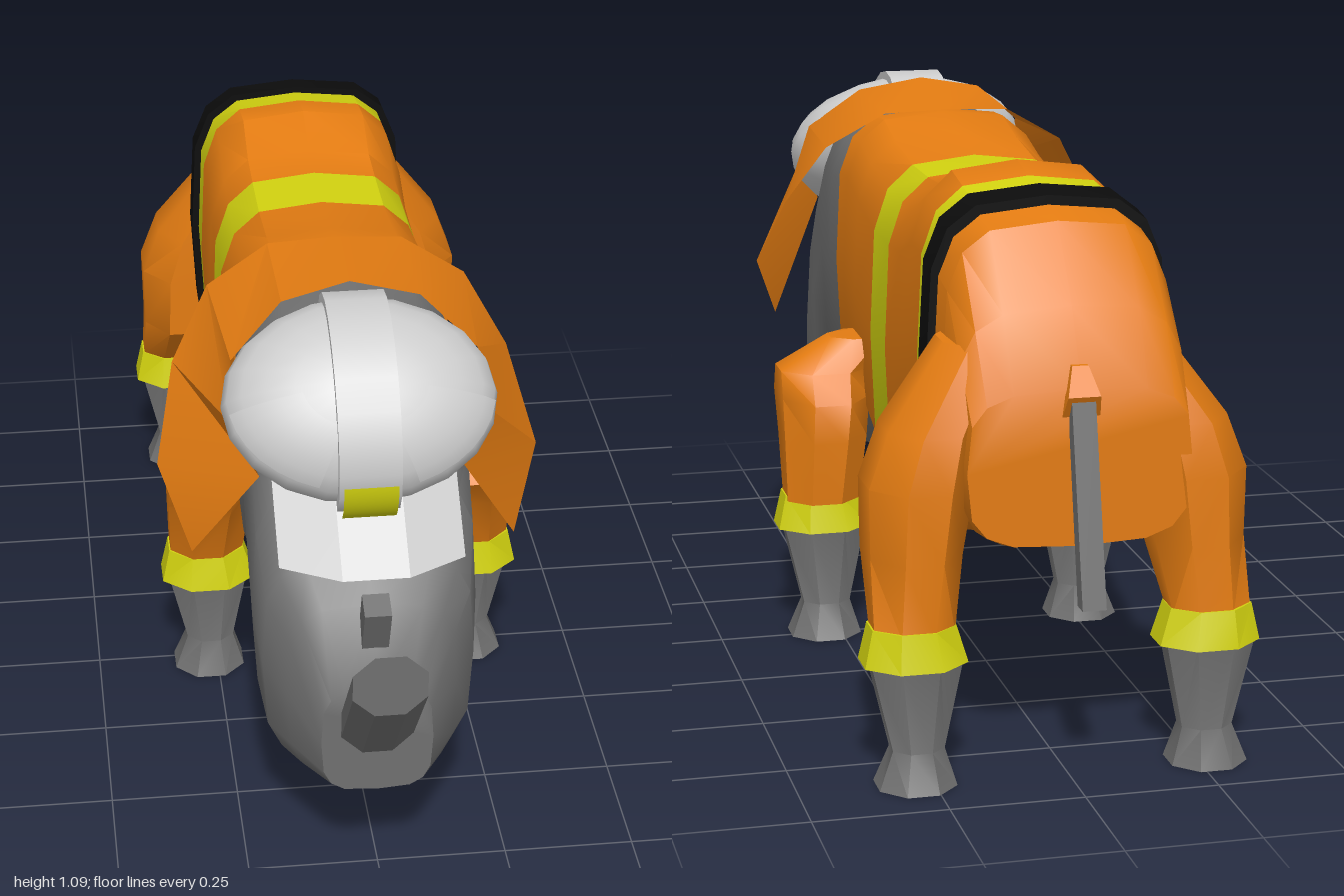
import * as THREE from 'three';
import { toCreasedNormals } from 'three/addons/utils/BufferGeometryUtils.js';

const mat = (color) => new THREE.MeshStandardMaterial({ color, side: THREE.DoubleSide });
const ORANGE = mat(0xe47c12), YELLOW = mat(0xd2d210), SKIN = mat(0x707070), BLACK = mat(0x0c0c0c), SHELL = mat(0xcccccc);
const CX = -0.013; // the trunk sits slightly off the centre line

function mesh(parent, name, geometry, material) {
  const m = new THREE.Mesh(geometry, material);
  m.name = name;
  parent.add(m);
  return m;
}

// Skin a list of rings (each a list of [x, y, z]) and close both ends
function loft(rings, crease = 0.6) {
  const n = rings[0].length, tris = [];
  for (let i = 0; i < rings.length - 1; i++) {
    for (let j = 0; j < n; j++) {
      const k = (j + 1) % n, a = rings[i], b = rings[i + 1];
      tris.push([a[j], a[k], b[k]], [a[j], b[k], b[j]]);
    }
  }
  const last = rings[rings.length - 1];
  for (let j = 1; j < n - 1; j++) {
    tris.push([rings[0][0], rings[0][j + 1], rings[0][j]], [last[0], last[j], last[j + 1]]);
  }
  // Turn the faces outward if the enclosed volume comes out negative
  let volume = 0;
  for (const [a, b, c] of tris) {
    volume += new THREE.Vector3(...a).dot(new THREE.Vector3(...b).cross(new THREE.Vector3(...c)));
  }
  if (volume < 0) tris.forEach((t) => t.reverse());
  const g = new THREE.BufferGeometry();
  g.setAttribute('position', new THREE.Float32BufferAttribute(tris.flat(2), 3));
  return toCreasedNormals(g, crease);
}

// Open strip between two edges of equal point count
function sheet(a, b, crease) {
  const pts = [];
  for (let i = 0; i < a.length - 1; i++) pts.push(a[i], a[i + 1], b[i + 1], a[i], b[i + 1], b[i]);
  const g = new THREE.BufferGeometry();
  g.setAttribute('position', new THREE.Float32BufferAttribute(pts.flat(), 3));
  return toCreasedNormals(g, crease);
}

// Rounded-square outline as [u, v] pairs
function outline(sides, power, turn = 0) {
  const soft = (v) => Math.sign(v) * Math.pow(Math.abs(v) < 1e-9 ? 0 : Math.abs(v), power);
  return Array.from({ length: sides }, (_, i) => {
    const a = ((i + turn) / sides) * Math.PI * 2;
    return [soft(Math.cos(a)), soft(Math.sin(a))];
  });
}

// Upright ring for trunk and head: [z, bottom, top, half width]
const trunkRing = ([z, lo, hi, w], grow = 0) => outline(16, 0.55).map(([u, v]) =>
  [CX + u * (w + grow), (lo + hi) / 2 + v * ((hi - lo) / 2 + grow), z]);

// Flat ring for the legs: [y, centre x, half x, centre z, half z]
const legRing = ([y, cx, hx, cz, hz], side) => outline(8, 1, 0.5).map(([u, v]) =>
  [0.007 + side * (cx + u * hx * 1.08), y, cz + v * hz * 1.08]);

function addTrunk(g) {
  const w = 0.214;
  const jacket = [
    ['chestJacket', ORANGE, [[0.26, 0.42, 1.05, w], [0.18, 0.41, 1.055, w], [0.07, 0.37, 1.03, w], [-0.09, 0.305, 1.01, w]]],
    ['middleStripe', YELLOW, [[-0.09, 0.305, 1.01, w], [-0.23, 0.305, 1.01, w]]],
    ['bellyJacket', ORANGE, [[-0.23, 0.305, 1.01, w], [-0.33, 0.305, 1.015, w], [-0.43, 0.325, 1.06, w], [-0.52, 0.37, 1.045, w]]],
    ['rearStripe', YELLOW, [[-0.52, 0.37, 1.045, w], [-0.6, 0.42, 1.03, w]]],
    ['rump', ORANGE, [[-0.6, 0.42, 1.03, w], [-0.73, 0.42, 1, w], [-0.83, 0.42, 0.865, w], [-0.9, 0.44, 0.73, 0.208]]],
  ];
  for (const [name, m, rows] of jacket) mesh(g, name, loft(rows.map((r) => trunkRing(r))), m);
  const belt = [[-0.595, 0.42, 1.03, w], [-0.66, 0.43, 1.02, w]];
  mesh(g, 'belt', loft(belt.map((r) => trunkRing(r, 0.014))), BLACK);

  // Tail with a small orange root
  const bar = (y, z, t, h) => [[-h, -t], [h, -t], [h, t], [-h, t]].map(([x, d]) => [CX + x, y, z + d]);
  mesh(g, 'tail', loft([bar(0.72, -0.9, 0.014, 0.022), bar(0.35, -0.983, 0.017, 0.022)]), SKIN);
  mesh(g, 'tailRoot', loft([bar(0.68, -0.89, 0.01, 0.035), bar(0.72, -0.9, 0.022, 0.03), bar(0.77, -0.88, 0.01, 0.015)]), ORANGE);
}

function addHead(g) {
  const rows = [
    [0.25, 0.42, 1.03, 0.213], [0.35, 0.39, 1.03, 0.213], [0.43, 0.42, 1.03, 0.213], [0.54, 0.28, 0.92, 0.213],
    [0.62, 0.24, 0.79, 0.213], [0.69, 0.205, 0.66, 0.2], [0.75, 0.21, 0.59, 0.16], [0.83, 0.23, 0.455, 0.105],
  ];
  mesh(g, 'head', loft(rows.map((r) => trunkRing(r))), SKIN);

  // Horns: octagonal, sloping up and forward
  const hornRing = (y, z, rx, ry) => outline(8, 1, 0.5).map(([u, v]) => [CX + u * rx * 1.08, y + v * ry * 1.08, z]);
  mesh(g, 'noseHorn', loft([hornRing(0.345, 0.8, 0.068, 0.065), hornRing(0.578, 1, 0.068, 0.062)], 0.3), SKIN);
  const small = mesh(g, 'smallHorn', new THREE.BoxGeometry(0.05, 0.13, 0.05), SKIN);
  small.position.set(CX, 0.565, 0.782);
  small.rotation.x = 0.4;
}

function addHelmet(g) {
  // Dome tipped forward, its long axis running down to the brow
  const helmet = new THREE.Group();
  helmet.name = 'helmet';
  helmet.position.set(CX - 0.003, 0.915, 0.56);
  helmet.rotation.x = Math.PI / 4;
  g.add(helmet);
  const size = [0.257, 0.13, 0.195];
  const dome = mesh(helmet, 'dome', new THREE.SphereGeometry(1, 20, 12), SHELL);
  dome.scale.set(...size);
  // Raised side plates
  for (const start of [0.15, 1.95]) {
    const plate = mesh(helmet, 'sidePlate', new THREE.SphereGeometry(1.035, 6, 4, start, 1.04, 0.45, 0.75), SHELL);
    plate.scale.set(...size);
  }
  // Centre ridge and the badge wrapped over its front end
  const band = (width, ...arc) => new THREE.CylinderGeometry(1, 1, width, 20, 1, ...arc).rotateZ(Math.PI / 2);
  mesh(helmet, 'ridge', band(0.115), SHELL).scale.set(1, 0.143, 0.208);
  mesh(helmet, 'badge', band(0.1, true, -0.1, 0.65), YELLOW).scale.set(1, 0.152, 0.22);

  // Visor: three flat panels leaning forward
  const top = [[-0.172, 0.79, 0.61], [-0.062, 0.8, 0.66], [0.062, 0.8, 0.66], [0.172, 0.79, 0.61]];
  const low = [[-0.172, 0.675, 0.74], [-0.062, 0.675, 0.8], [0.062, 0.675, 0.8], [0.172, 0.675, 0.74]];
  mesh(g, 'visor', sheet(low, top, 0.2), SHELL).position.x = CX;

  // Neck cape flaring out behind the helmet
  const front = [[0, 1.09, 0.42], [0.13, 1.065, 0.44], [0.23, 0.98, 0.5], [0.24, 0.89, 0.57], [0.19, 0.8, 0.62], [0.31, 0.572, 0.5]];
  const back = [[0, 1.06, 0.17], [0.13, 1.055, 0.175], [0.25, 0.985, 0.2], [0.325, 0.86, 0.27], [0.366, 0.71, 0.4], [0.31, 0.572, 0.5]];
  const full = (half) => [...half.slice(1).reverse().map(([x, y, z]) => [-x, y, z]), ...half];
  mesh(g, 'neckCape', sheet(full(front), full(back), 0.5), ORANGE).position.x = CX - 0.005;
}

function addLeg(g, prefix, side, z, sleeve) {
  const leg = new THREE.Group();
  leg.name = prefix + 'Leg';
  g.add(leg);
  const build = (name, rows, m) => mesh(leg, prefix + name, loft(rows.map((r) => legRing(r, side)), 0.7), m);
  build('Foot', [[0, 0.275, 0.072, z, 0.073], [0.07, 0.272, 0.048, z, 0.044], [0.24, 0.275, 0.085, z, 0.058]], SKIN);
  build('Cuff', [[0.23, 0.275, 0.095, z + 0.015, 0.082], [0.3, 0.278, 0.077, z + 0.015, 0.068]], YELLOW);
  build('Sleeve', sleeve, ORANGE);
}

export function createModel() {
  const g = new THREE.Group();
  g.name = 'rhinoceros';
  addTrunk(g);
  addHead(g);
  addHelmet(g);
  const frontSleeve = [
    [0.29, 0.278, 0.074, 0.022, 0.072], [0.42, 0.27, 0.085, 0.04, 0.1], [0.5, 0.265, 0.09, 0.07, 0.13],
    [0.555, 0.26, 0.095, 0.07, 0.085], [0.62, 0.18, 0.07, 0.06, 0.05],
  ];
  const rearSleeve = [
    [0.29, 0.278, 0.074, -0.85, 0.06], [0.42, 0.265, 0.085, -0.785, 0.118], [0.55, 0.255, 0.097, -0.785, 0.12],
    [0.65, 0.23, 0.085, -0.78, 0.115], [0.8, 0.14, 0.065, -0.75, 0.08],
  ];
  for (const side of [1, -1]) {
    addLeg(g, 'front', side, 0.015, frontSleeve);
    addLeg(g, 'rear', side, -0.86, rearSleeve);
  }
  return g;
}
